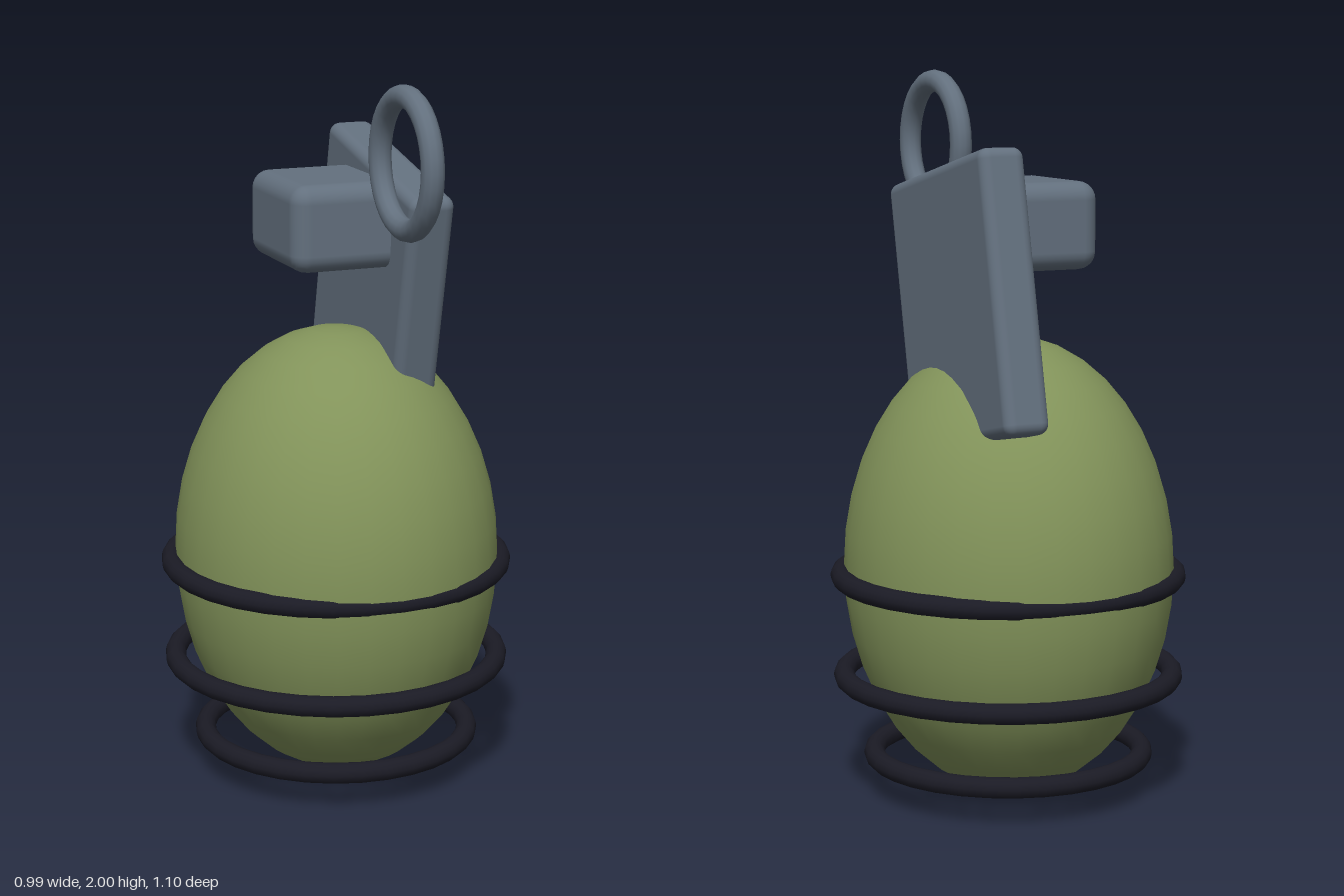
import * as THREE from 'three';
import { RoundedBoxGeometry } from 'three/addons/geometries/RoundedBoxGeometry.js';

export function createModel() {
  const group = new THREE.Group();
  const olive = new THREE.MeshStandardMaterial({ name: 'olive green', color: 0x82935a });
  const steel = new THREE.MeshStandardMaterial({ name: 'steel grey', color: 0x63707e });
  const black = new THREE.MeshStandardMaterial({ name: 'band black', color: 0x1b1b25 });

  const add = (name, geometry, material, x, y, z) => {
    const mesh = new THREE.Mesh(geometry, material);
    mesh.name = name;
    mesh.position.set(x, y, z);
    group.add(mesh);
    return mesh;
  };
  const axisZ = -0.055;

  // Egg-shaped body, a little deeper than it is wide
  const egg = new THREE.SphereGeometry(1, 32, 20).scale(0.452, 0.641, 0.492);
  add('body', egg, olive, 0, 0.641, axisZ);

  // Horizontal bands: [height, radius]
  [[0.105, 0.377], [0.331, 0.46], [0.615, 0.467]].forEach(([y, r], i) => {
    const band = new THREE.TorusGeometry(r, 0.029, 12, 32).rotateX(Math.PI / 2);
    add('band' + (i + 1), band, black, 0, y, axisZ);
  });

  // Fuse block
  add('fuseBlock', new RoundedBoxGeometry(0.34, 0.24, 0.375, 3, 0.05), steel, -0.02, 1.59, -0.055);

  // Tilted safety lever
  const lever = add('lever', new RoundedBoxGeometry(0.13, 0.758, 0.632, 3, 0.03), steel, 0.151, 1.378, -0.108);
  lever.rotation.x = 0.22;

  // Pull ring
  const ring = new THREE.TorusGeometry(0.175, 0.031, 12, 32).rotateY(Math.PI / 2);
  add('pullRing', ring, steel, 0.037, 1.794, 0.347);

  return group;
}
